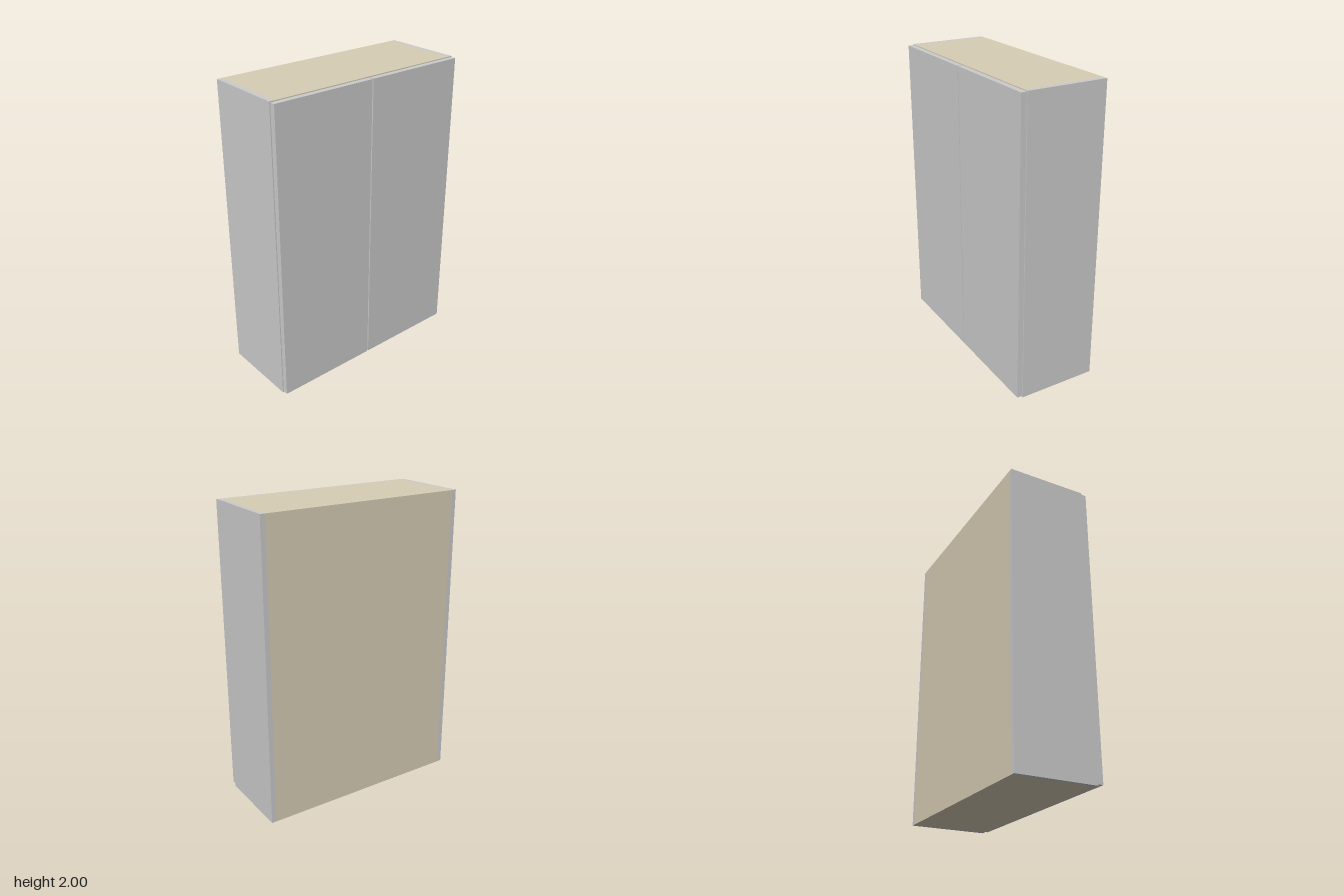
import * as THREE from 'three';

export function createModel() {
  const model = new THREE.Group();
  const grey = new THREE.MeshStandardMaterial({ color: 0xcccccc });
  const beige = new THREE.MeshStandardMaterial({ color: 0xd7cdb5 });

  // Box given by its lower and upper corners
  function panel(name, material, [x0, y0, z0], [x1, y1, z1]) {
    const mesh = new THREE.Mesh(new THREE.BoxGeometry(x1 - x0, y1 - y0, z1 - z0), material);
    mesh.position.set((x0 + x1) / 2, (y0 + y1) / 2, (z0 + z1) / 2);
    mesh.name = name;
    model.add(mesh);
  }

  const W = 0.712, T = 0.032, H = 2, back = -0.286, front = 0.247, doorFront = 0.285;
  const inner = W - T;

  // Carcass: top, bottom and back between the two sides
  panel('topPanel', beige, [-inner, H - T, back], [inner, H, front]);
  panel('bottomPanel', beige, [-inner, 0, back], [inner, T, front]);
  panel('backPanel', beige, [-inner, T, back], [inner, H - T, back + 0.015]);

  // Side panels and the pair of doors
  for (const [side, s] of [['left', 1], ['right', -1]]) {
    const spanX = (a, b) => (s > 0 ? [a, b] : [-b, -a]);
    const [sx0, sx1] = spanX(inner, W);
    panel(side + 'SidePanel', grey, [sx0, 0, back], [sx1, H, front]);
    const [dx0, dx1] = spanX(0.004, W - 0.005);
    panel(side + 'Door', grey, [dx0, 0.01, front + 0.002], [dx1, H - 0.005, doorFront]);
  }
  return model;
}
